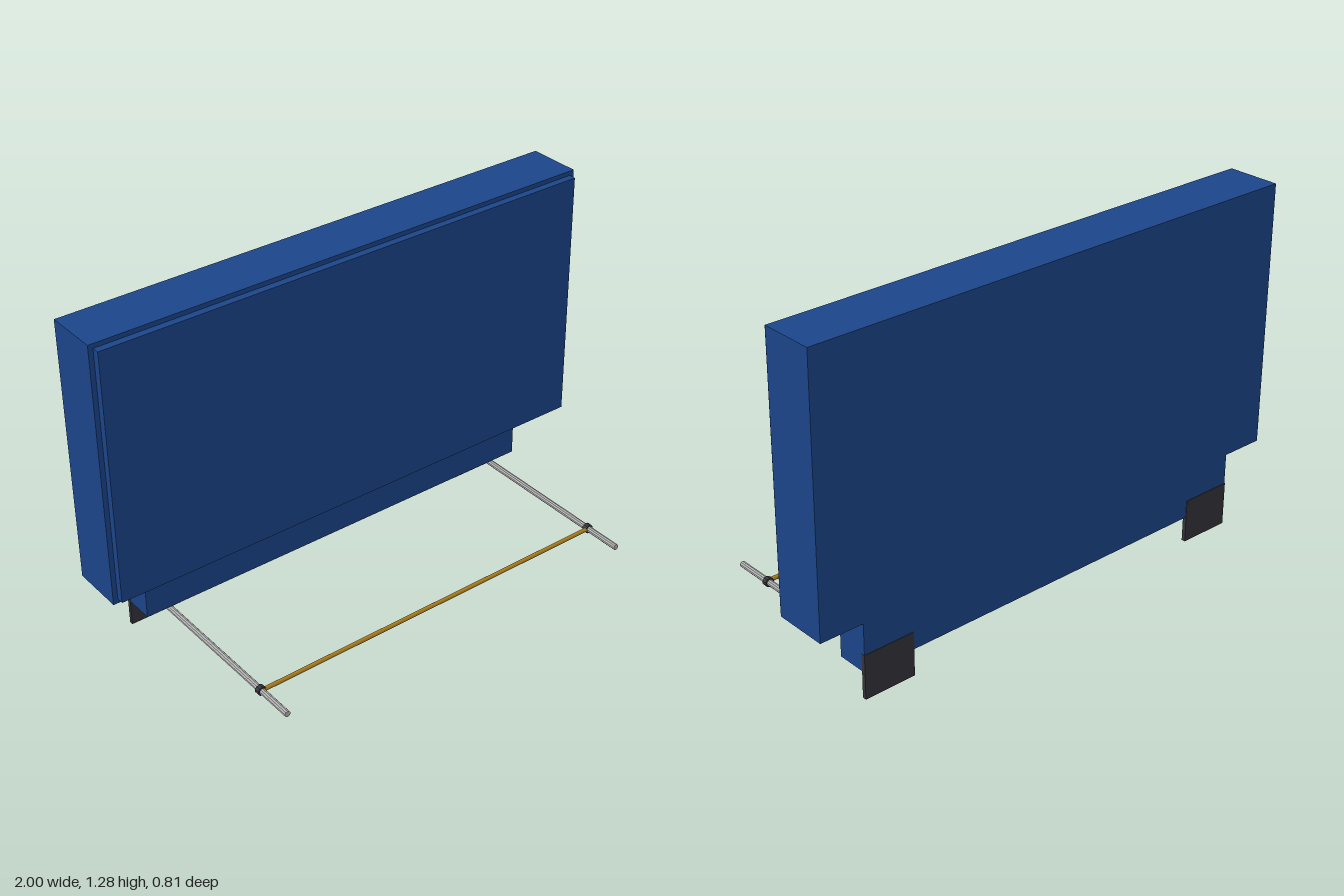
import * as THREE from 'three';

export function createModel() {
  const model = new THREE.Group();
  model.name = 'panelOnStand';

  const material = (name, color) => {
    const m = new THREE.MeshStandardMaterial({ color });
    m.name = name;
    return m;
  };
  const blue = material('blue', 0x1b4488);
  const charcoal = material('charcoal', 0x333338);
  const steel = material('steel', 0xb0b0b0);
  const brass = material('brass', 0xa87c1c);

  const add = (name, geometry, mat) => {
    const mesh = new THREE.Mesh(geometry, mat);
    mesh.name = name;
    model.add(mesh);
    return mesh;
  };

  // box given by its lower and upper limits on each axis
  const box = (name, mat, [x0, x1], [y0, y1], [z0, z1]) =>
    add(name, new THREE.BoxGeometry(x1 - x0, y1 - y0, z1 - z0), mat)
      .position.set((x0 + x1) / 2, (y0 + y1) / 2, (z0 + z1) / 2);

  // faceted cylinder running along z
  const rodZ = (name, mat, radius, x, y, z0, z1) => {
    const geometry = new THREE.CylinderGeometry(radius, radius, z1 - z0, 10).rotateX(Math.PI / 2);
    const faceted = geometry.toNonIndexed();
    faceted.computeVertexNormals();
    add(name, faceted, mat).position.set(x, y, (z0 + z1) / 2);
  };

  // cabinet, raised front panel and narrower lower section
  box('cabinet', blue, [-1, 1], [0.284, 1.283], [-0.405, -0.202]);
  box('frontPanel', blue, [-0.982, 0.982], [0.301, 1.266], [-0.202, -0.175]);
  box('lowerSection', blue, [-0.833, 0.833], [0.1, 0.284], [-0.405, -0.282]);

  for (const [side, s] of [['left', 1], ['right', -1]]) {
    // foot plate against the back
    const xs = [0.633 * s, 0.834 * s].sort((a, b) => a - b);
    box(side + 'FootPlate', charcoal, xs, [0, 0.167], [-0.407, -0.392]);

    // forward rail with its collar
    rodZ(side + 'Rail', steel, 0.0115, 0.733 * s, 0.084, -0.393, 0.407);
    rodZ(side + 'Collar', charcoal, 0.0175, 0.733 * s, 0.084, 0.246, 0.265);
  }

  // thin bar joining the two collars
  add('crossBar', new THREE.CylinderGeometry(0.008, 0.008, 1.45, 12).rotateZ(Math.PI / 2), brass)
    .position.set(0, 0.085, 0.26);

  return model;
}
